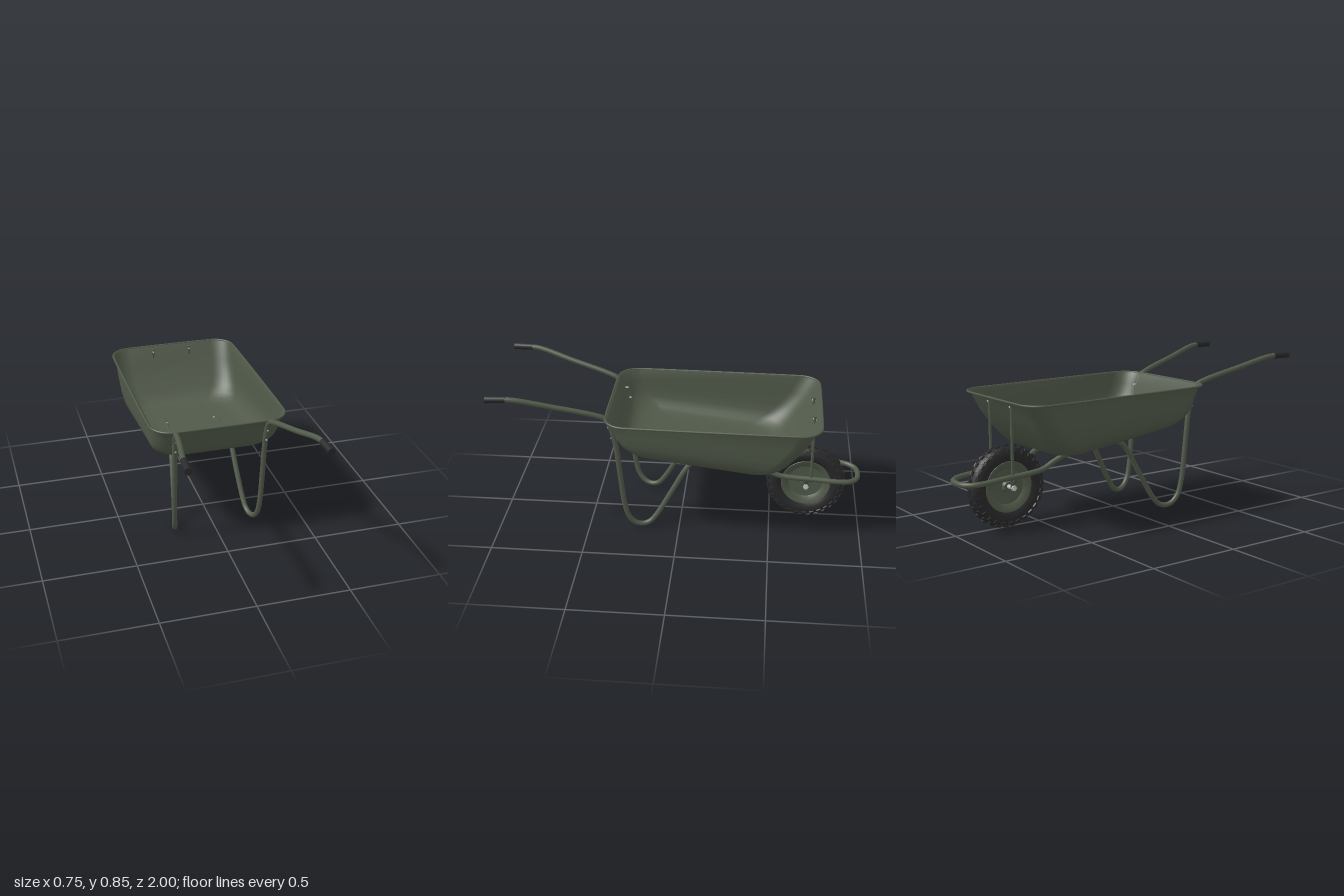
import * as THREE from 'three';
import { mergeGeometries, toCreasedNormals } from 'three/addons/utils/BufferGeometryUtils.js';

const paint = (name, color, side = THREE.FrontSide) => {
  const m = new THREE.MeshStandardMaterial({ color, side });
  m.name = name;
  return m;
};
const V = (x, y, z) => new THREE.Vector3(x, y, z);

// Tray floor height falls towards the wheel, rim is nearly level
const floorY = z => 0.45 + 0.135 * z;
const rimY = z => 0.698 + 0.008 * z;

// Rounded rectangle in plan, one corner after another
function ring(s, hw, z0, z1, r, steps = 8) {
  const pts = [];
  const corners = [[hw - r, z1 - r], [-hw + r, z1 - r], [-hw + r, z0 + r], [hw - r, z0 + r]];
  corners.forEach(([cx, cz], k) => {
    for (let i = 0; i <= steps; i++) {
      const a = (k + i / steps) * Math.PI / 2;
      const z = cz + r * Math.sin(a);
      pts.push(V(cx + r * Math.cos(a), rimY(z) + s * (floorY(z) - rimY(z)), z));
    }
  });
  return pts;
}

// Loft the rings and close the floor with a fan
function trayGeometry(rings) {
  const n = rings[0].length, pos = [], idx = [];
  rings.flat().forEach(p => pos.push(p.x, p.y, p.z));
  for (let l = 0; l < rings.length - 1; l++) {
    for (let i = 0; i < n; i++) {
      const a = l * n + i, b = l * n + (i + 1) % n;
      idx.push(a, b, a + n, b, b + n, a + n);
    }
  }
  const c = rings.length * n, cz = -0.12;
  pos.push(0, floorY(cz), cz);
  for (let i = 0; i < n; i++) idx.push(c - n + i, c - n + (i + 1) % n, c);
  const g = new THREE.BufferGeometry();
  g.setAttribute('position', new THREE.Float32BufferAttribute(pos, 3));
  g.setIndex(idx);
  g.computeVertexNormals();
  return g;
}

export function createModel() {
  const green = paint('green paint', 0x515a4a);
  const greenSheet = paint('green sheet', 0x515a4a, THREE.DoubleSide);
  const rubber = paint('black rubber', 0x29292b);
  const steel = paint('bare steel', 0xc4c4c4);
  const model = new THREE.Group();
  model.name = 'wheelbarrow';

  const add = (name, geometry, material, parent = model) => {
    const m = new THREE.Mesh(geometry, material);
    m.name = name;
    parent.add(m);
    return m;
  };
  // Cylinder between two points
  const rod = (name, a, b, r, mat, parent = model, sides = 16) => {
    const d = b.clone().sub(a);
    const m = add(name, new THREE.CylinderGeometry(r, r, d.length(), sides), mat, parent);
    m.position.copy(a).add(b).multiplyScalar(0.5);
    m.quaternion.setFromUnitVectors(V(0, 1, 0), d.normalize());
    return m;
  };

  // Tray
  const rim = ring(0, 0.368, -0.758, 0.387, 0.11);
  add('tray', trayGeometry([
    rim,
    ring(0.01, 0.358, -0.745, 0.374, 0.105),
    ring(0.3, 0.354, -0.692, 0.349, 0.105),
    ring(0.55, 0.350, -0.635, 0.332, 0.11),
    ring(0.72, 0.341, -0.596, 0.318, 0.12),
    ring(0.83, 0.327, -0.567, 0.303, 0.13),
    ring(0.91, 0.308, -0.538, 0.282, 0.13),
    ring(0.97, 0.280, -0.50, 0.25, 0.13),
    ring(0.995, 0.245, -0.46, 0.205, 0.12),
    ring(1, 0.20, -0.41, 0.15, 0.1),
  ]), greenSheet);
  add('trayRim', new THREE.TubeGeometry(
    new THREE.CatmullRomCurve3(rim, true), 160, 0.006, 8, true), green);

  // One bent tube: grip, handle, leg, underframe and front loop, then mirrored
  const half = [
    [0.347, 0.826, 0.985], [0.343, 0.827, 0.90], [0.336, 0.82, 0.84], [0.30, 0.772, 0.66],
    [0.262, 0.715, 0.445], [0.253, 0.692, 0.392], [0.250, 0.65, 0.366], [0.248, 0.55, 0.340],
    [0.246, 0.35, 0.318], [0.243, 0.16, 0.297], [0.238, 0.075, 0.274], [0.229, 0.033, 0.238],
    [0.219, 0.022, 0.20], [0.210, 0.034, 0.162], [0.202, 0.075, 0.126], [0.187, 0.22, 0.043],
    [0.174, 0.365, -0.038], [0.167, 0.405, -0.075], [0.158, 0.415, -0.12], [0.145, 0.403, -0.27],
    [0.128, 0.380, -0.39], [0.115, 0.345, -0.47], [0.111, 0.312, -0.535], [0.111, 0.300, -0.61],
    [0.111, 0.292, -0.75], [0.111, 0.283, -0.885], [0.095, 0.279, -0.94], [0.058, 0.277, -0.975],
  ].map(p => V(...p));
  const path = [...half, V(0, 0.276, -0.984),
    ...half.slice().reverse().map(p => V(-p.x, p.y, p.z))];
  add('frame', new THREE.TubeGeometry(
    new THREE.CatmullRomCurve3(path, false, 'centripetal'), 420, 0.0145, 14), green);

  // Parts found on both sides
  for (const s of [1, -1]) {
    const side = new THREE.Group();
    side.name = s > 0 ? 'leftFittings' : 'rightFittings';
    model.add(side);
    rod('grip', V(s * 0.348, 0.826, 1), V(s * 0.342, 0.827, 0.895), 0.018, rubber, side);
    rod('gripCollar', V(s * 0.348, 0.826, 1), V(s * 0.3475, 0.826, 0.99), 0.0195, rubber, side);
    rod('trayStrut', V(s * 0.111, 0.685, -0.722), V(s * 0.111, 0.29, -0.722), 0.008, green, side);
    // Axle hanger: thin strap from frame to axle
    const strap = new THREE.CatmullRomCurve3([
      V(s * 0.108, 0.283, -0.698), V(s * 0.098, 0.262, -0.698),
      V(s * 0.077, 0.247, -0.698), V(s * 0.074, 0.21, -0.698)]);
    const hanger = new THREE.TubeGeometry(strap, 20, 0.003, 6);
    hanger.translate(0, 0, 0.698).scale(1, 1, 5).translate(0, 0, -0.698);
    add('axleHanger', hanger, green, side);
    rod('axleNut', V(s * 0.077, 0.225, -0.698), V(s * 0.088, 0.225, -0.698), 0.015, steel, side, 6);
    rod('axleSleeve', V(s * 0.03, 0.225, -0.698), V(s * 0.07, 0.225, -0.698), 0.011, steel, side);
    // Bolts
    for (const [y, z] of [[0.637, 0.362], [0.573, 0.345]])
      rod('legBolt', V(s * 0.248, y, z - 0.03), V(s * 0.248, y, z + 0.018), 0.005, steel, side, 8);
    rod('floorBolt', V(s * 0.142, 0.38, -0.265), V(s * 0.142, floorY(-0.265) + 0.004, -0.265),
      0.006, steel, side, 8);
    rod('strutBolt', V(s * 0.111, 0.66, -0.735), V(s * 0.111, 0.672, -0.712), 0.005, steel, side, 8);
  }

  // Wheel, turned about the x axis
  const wheel = new THREE.Group();
  wheel.name = 'wheel';
  wheel.position.set(0, 0.222, -0.698);
  model.add(wheel);
  const mirrored = pts => [...pts, ...pts.slice().reverse().map(([r, x]) => [r, -x])]
    .map(([r, x]) => new THREE.Vector2(r, x));
  const spin = pts => new THREE.LatheGeometry(mirrored(pts), 64).rotateZ(Math.PI / 2);
  add('tyre', spin([[0.13, -0.026], [0.14, -0.033], [0.156, -0.042], [0.175, -0.045],
    [0.195, -0.040], [0.208, -0.028], [0.214, -0.012]]), rubber, wheel);
  add('wheelDisc', toCreasedNormals(spin([[0, -0.03], [0.026, -0.03], [0.032, -0.012],
    [0.095, -0.014], [0.112, -0.028], [0.136, -0.034], [0.139, -0.03]]), 0.6), green, wheel);
  rod('axle', V(-0.092, 0, 0), V(0.092, 0, 0), 0.007, steel, wheel);

  // Tread blocks
  const blocks = [], count = 28;
  const block = (x, r, tilt, w, len, angle) => blocks.push(
    new THREE.BoxGeometry(w, 0.012, len).rotateZ(tilt).translate(x, r, 0).rotateX(angle));
  for (let i = 0; i < count; i++) {
    const a = i / count * Math.PI * 2, b = a + Math.PI / count;
    block(0, 0.216, 0, 0.017, 0.022, a);
    for (const s of [1, -1]) {
      block(s * 0.025, 0.209, -s * 0.6, 0.016, 0.022, b);
      block(s * 0.041, 0.194, -s * 1.15, 0.02, 0.024, a);
    }
  }
  add('treadBlocks', mergeGeometries(blocks), rubber, wheel);

  return model;
}
